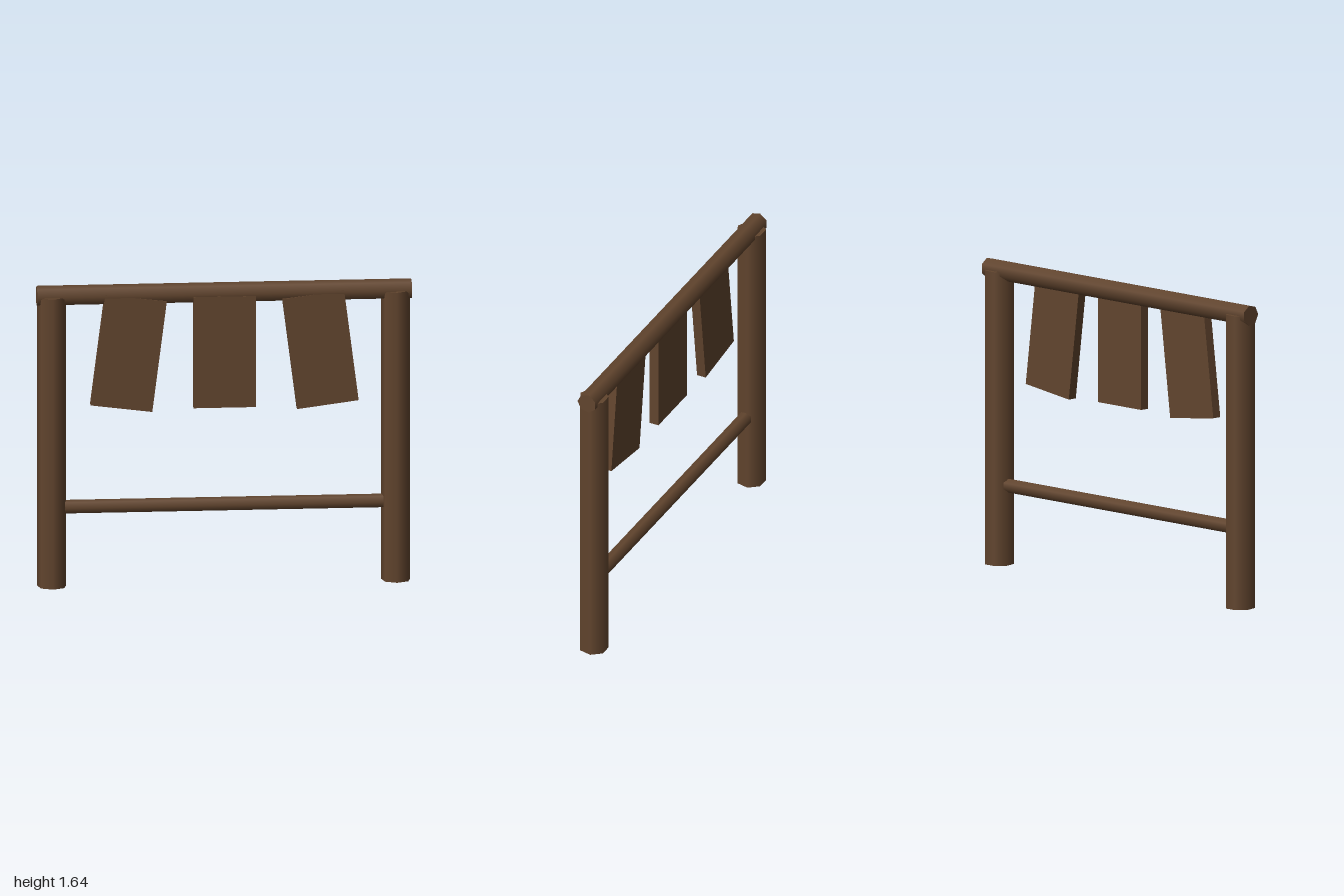
import * as THREE from 'three';

export function createModel() {
  const group = new THREE.Group();
  const wood = new THREE.MeshStandardMaterial({ color: 0x62452e });
  wood.name = 'darkWood';
  const SIDES = 7;
  const Z = -0.004; // centre line of the round logs

  function add(name, geometry, x, y, z, tilt = 0) {
    const mesh = new THREE.Mesh(geometry, wood);
    mesh.name = name;
    mesh.position.set(x, y, z);
    mesh.rotation.z = tilt;
    group.add(mesh);
  }
  const log = (radius, length) => new THREE.CylinderGeometry(radius, radius, length, SIDES);

  // Upright posts
  for (const [name, side] of [['leftPost', 1], ['rightPost', -1]]) {
    add(name, log(0.0795, 1.588), side * 0.918, 0.794, Z);
  }

  // Horizontal top beam and thin lower rung
  add('topBeam', log(0.055, 2), 0, 1.59, Z, Math.PI / 2);
  add('lowerRung', log(0.038, 1.7), 0, 0.432, Z, Math.PI / 2);

  // Hanging boards, the outer two splayed outwards
  const board = new THREE.BoxGeometry(0.331, 0.608, 0.052);
  add('centreBoard', board, 0, 1.275, 0.021);
  for (const [name, side] of [['leftBoard', 1], ['rightBoard', -1]]) {
    add(name, board, side * 0.512, 1.278, 0.021, side * 0.128);
  }

  return group;
}
